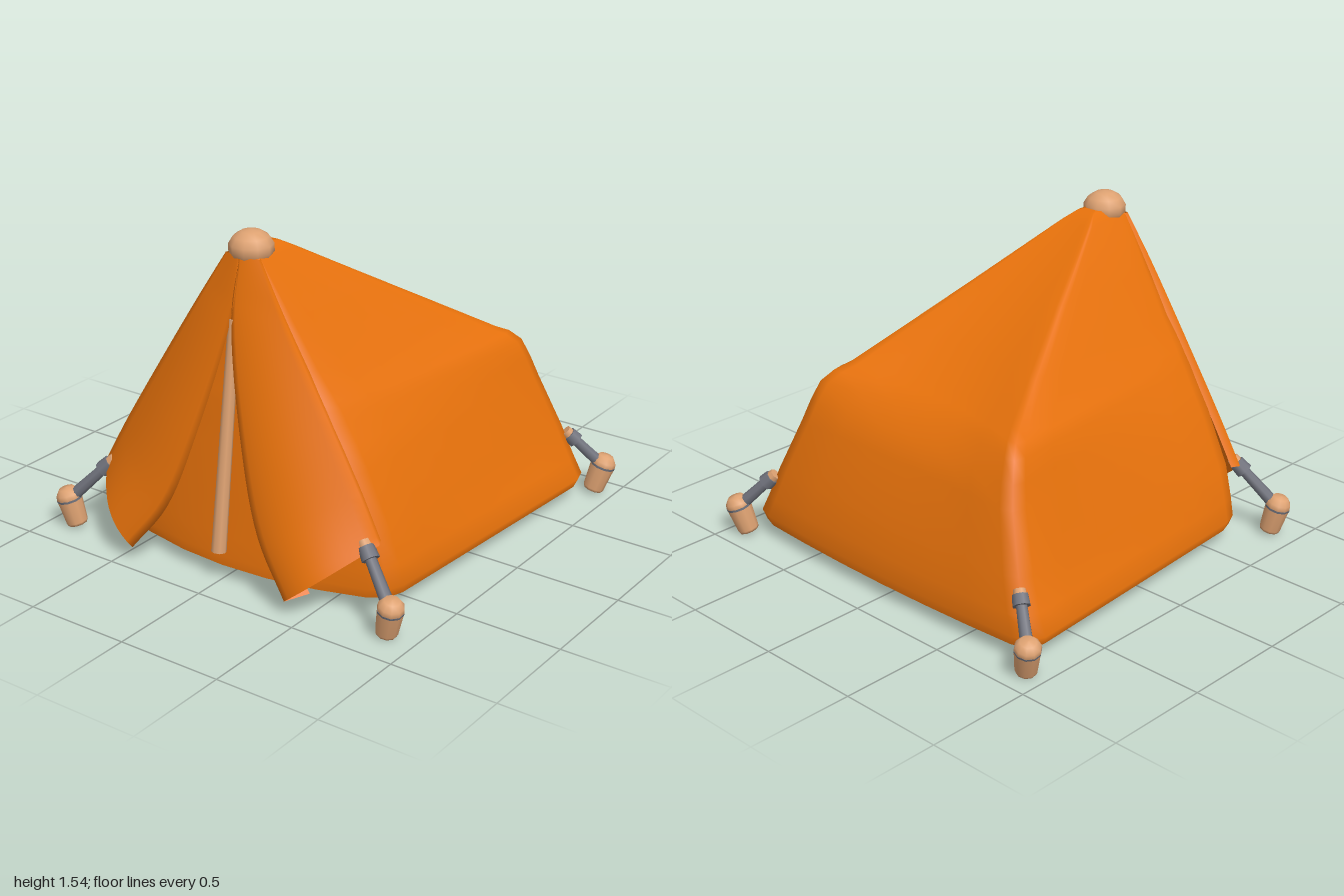
import * as THREE from 'three';

const V = (x, y, z) => new THREE.Vector3(x, y, z);

// Smooth surface through rows of points; rows run downwards, points run counter-clockwise seen from above
function grid(rows, closed) {
  const n = rows[0].length, index = [];
  for (let i = 0; i < rows.length - 1; i++) {
    for (let j = 0; j < (closed ? n : n - 1); j++) {
      const k = (j + 1) % n;
      const a = i * n + j, b = a + n, c = (i + 1) * n + k, d = i * n + k;
      index.push(a, b, c, a, c, d);
    }
  }
  const geo = new THREE.BufferGeometry().setFromPoints(rows.flat());
  geo.setIndex(index);
  geo.computeVertexNormals();
  return geo;
}

// Horizontal section of the tent: four rounded corners, edges bulged outwards or sagging inwards
function section([y, fx, fz, bx, bz, front, side, back]) {
  const corners = [[-fx, fz], [fx, fz], [bx, bz], [-bx, bz]];
  const bulges = [front, side, back, side];
  const onEdge = (e, s) => {
    const p = corners[e], q = corners[(e + 1) % 4];
    const dx = q[0] - p[0], dz = q[1] - p[1], len = Math.hypot(dx, dz);
    const o = bulges[e] * 4 * s * (1 - s);
    return V(p[0] + dx * s - dz / len * o, y, p[1] + dz * s + dx / len * o);
  };
  const ring = [];
  for (let e = 0; e < 4; e++) {
    for (const s of [0.06, 0.2, 0.35, 0.5, 0.65, 0.8, 0.94]) ring.push(onEdge(e, s));
    const [cx, cz] = corners[(e + 1) % 4];
    const p = onEdge(e, 0.94), q = onEdge((e + 1) % 4, 0.06);
    ring.push(V((p.x + q.x) / 4 + cx / 2, y, (p.z + q.z) / 4 + cz / 2));
  }
  return ring;
}

export function createModel() {
  const tent = new THREE.Group();
  tent.name = 'tent';
  const fabric = new THREE.MeshStandardMaterial({ color: 0xe8720b, side: THREE.DoubleSide });
  fabric.name = 'orange canvas';
  const wood = new THREE.MeshStandardMaterial({ color: 0xdea272 });
  wood.name = 'pale wood';
  const cord = new THREE.MeshStandardMaterial({ color: 0x70727c });
  cord.name = 'grey cord';

  const add = (name, geo, mat, parent = tent) => {
    const mesh = new THREE.Mesh(geo, mat);
    mesh.name = name;
    parent.add(mesh);
    return mesh;
  };
  // Places a geometry built along +y so that it starts at a and points to b
  const aim = (mesh, a, b) => {
    mesh.position.copy(a);
    mesh.quaternion.setFromUnitVectors(V(0, 1, 0), b.clone().sub(a).normalize());
    return mesh;
  };
  const rod = (name, a, b, rA, rB, mat, parent, sides = 8) => {
    const h = a.distanceTo(b);
    const geo = new THREE.CylinderGeometry(rB, rA, h, sides).translate(0, h / 2, 0);
    return aim(add(name, geo, mat, parent), a, b);
  };

  // Canvas shell: height, front corner x z, back corner x z, then front, side and back bulge
  const levels = [
    [1.47, 0.05, 0.64, 0.05, 0.46, 0, 0, 0],
    [1.43, 0.09, 0.65, 0.09, 0.39, 0.01, 0, 0],
    [1.2, 0.23, 0.66, 0.275, 0, 0.02, 0, -0.03],
    [1.0, 0.35, 0.67, 0.44, -0.34, 0.03, 0, -0.08],
    [0.87, 0.44, 0.675, 0.55, -0.56, 0.05, 0, -0.125],
    [0.84, 0.46, 0.675, 0.59, -0.62, 0.055, 0, -0.125],
    [0.79, 0.49, 0.68, 0.63, -0.67, 0.06, 0, -0.1],
    [0.7, 0.545, 0.68, 0.66, -0.705, 0.07, 0, -0.05],
    [0.6, 0.605, 0.685, 0.69, -0.735, 0.08, 0, -0.02],
    [0.35, 0.725, 0.69, 0.79, -0.8, 0.11, -0.015, 0.01],
    [0.2, 0.765, 0.685, 0.85, -0.825, 0.135, -0.01, 0.025],
    [0.11, 0.785, 0.68, 0.895, -0.835, 0.155, 0, 0.03],
    [0.065, 0.77, 0.67, 0.875, -0.825, 0.165, 0, 0.035],
  ];
  const rings = levels.map(section);
  const cap = rings[0].map(() => V(0, 1.475, 0.55));
  add('canvasShell', grid([cap, ...rings], true), fabric);

  // Floor
  const bottom = rings[rings.length - 1];
  add('floor', grid([bottom, bottom.map(() => V(0, 0.057, 0))], true), fabric);

  // Front flaps, pulled open from the pole, with both edges rolled back
  const outer = new THREE.CatmullRomCurve3([
    V(0.09, 1.44, 0.65), V(0.225, 1.22, 0.675), V(0.46, 0.84, 0.695), V(0.64, 0.54, 0.71), V(0.75, 0.34, 0.72),
  ]);
  const inner = new THREE.CatmullRomCurve3([
    V(0, 1.44, 0.675), V(0, 1.19, 0.735), V(0.125, 0.65, 0.84), V(0.25, 0.3, 0.9), V(0.42, 0.07, 0.945),
  ]);
  for (const side of [1, -1]) {
    const rows = [];
    for (let i = 0; i <= 24; i++) {
      const t = i / 24, a = inner.getPoint(t), b = outer.getPoint(t), row = [];
      row.push(V(a.x + 0.07 * t, a.y + 0.02 * t, a.z - 0.01 - 0.08 * t));
      for (let j = 0; j <= 12; j++) {
        const u = j / 12, p = a.clone().lerp(b, u);
        p.z = a.z + (b.z - a.z) * Math.pow(u, 1.5) + Math.sin(Math.PI * u) * 0.055 * Math.max(0, t - 0.2);
        row.push(p);
      }
      row.push(V(b.x - 0.02, b.y, b.z - 0.04));
      row.forEach(p => { p.x *= side; });
      rows.push(side > 0 ? row : row.reverse());
    }
    add(side > 0 ? 'leftFlap' : 'rightFlap', grid(rows, false), fabric);
  }

  // Front pole and its rounded top
  rod('frontPole', V(0, 0.14, 0.855), V(0, 1.18, 0.715), 0.034, 0.026, wood, tent);
  const knob = add('poleKnob', new THREE.SphereGeometry(0.1, 10, 7), wood);
  knob.scale.y = 0.8;
  knob.position.set(0, 1.462, 0.59);

  // Guy ropes and pegs at the four corners
  const pegProfile = [[0, 0], [0.046, 0], [0.05, 0.012], [0.059, 0.135], [0.056, 0.155], [0.036, 0.18], [0, 0.185]]
    .map(([r, y]) => new THREE.Vector2(r, y));
  for (const side of [1, -1]) {
    const corners = [
      ['front', V(0.69, 0.35, 0.745), V(0.86, 0.012, 0.825), V(0.9, 0.18, 0.845)],
      ['back', V(0.785, 0.31, -0.795), V(0.9, 0.012, -0.875), V(0.945, 0.18, -0.91)],
    ];
    for (const [place, tie, foot, head] of corners) {
      [tie, foot, head].forEach(p => { p.x *= side; });
      const guy = new THREE.Group();
      guy.name = place + (side > 0 ? 'Left' : 'Right') + 'Guy';
      tent.add(guy);
      const end = foot.clone().lerp(head, 0.72);
      const at = s => tie.clone().lerp(end, s);
      rod('toggle', at(-0.02), at(0.09), 0.028, 0.03, wood, guy);
      rod('knot', at(0.07), at(0.26), 0.036, 0.04, cord, guy);
      rod('rope', at(0.1), at(1), 0.024, 0.03, cord, guy);
      rod('pegLoop', foot.clone().lerp(head, 0.7), foot.clone().lerp(head, 0.76), 0.059, 0.06, cord, guy, 10);
      aim(add('peg', new THREE.LatheGeometry(pegProfile, 10), wood, guy), foot, head);
    }
  }
  return tent;
}
